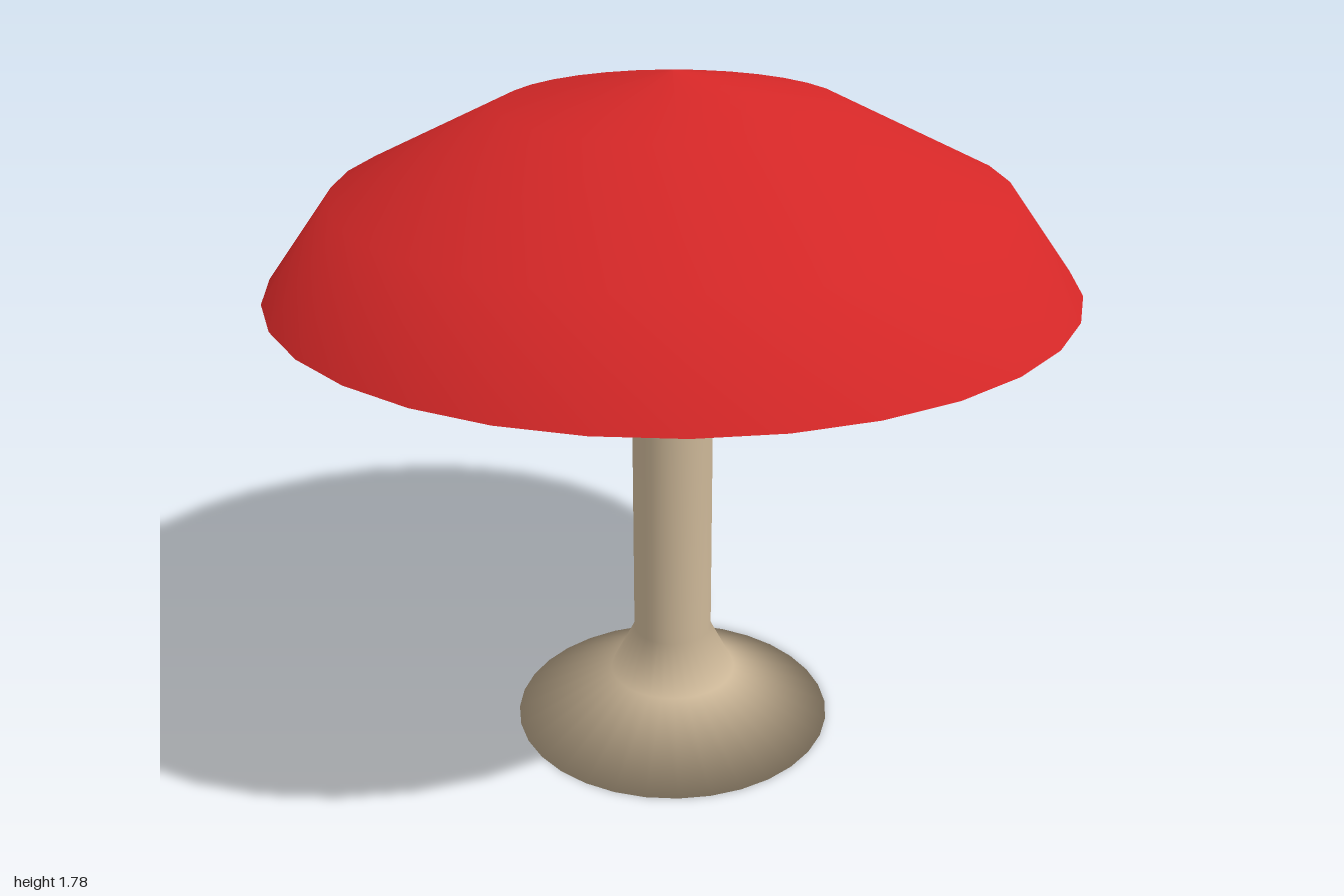
import * as THREE from 'three';

const SIDES = 32;

function material(name, color, side = THREE.FrontSide) {
  const m = new THREE.MeshStandardMaterial({ color, side });
  m.name = name;
  return m;
}

// Turned part from [radius, height] pairs, listed from bottom to top on the outside
function turned(name, profile, mat) {
  const points = profile.map(([r, y]) => new THREE.Vector2(r, y));
  const mesh = new THREE.Mesh(new THREE.LatheGeometry(points, SIDES), mat);
  mesh.name = name;
  return mesh;
}

export function createModel() {
  const red = material('cap red', 0xd42727);
  const beige = material('stem beige', 0xcab596);
  const dark = material('gill dark brown', 0x3c2c23);

  const group = new THREE.Group();
  group.name = 'mushroom';

  // Stem with a flared foot and a flat base
  group.add(turned('stem', [
    [0, 0], [0.43, 0], [0.17, 0.13], [0.105, 0.26], [0.105, 1.44],
  ], beige));

  // Domed cap
  group.add(turned('cap', [
    [1, 1.27], [0.83, 1.5], [0.42, 1.7], [0, 1.78],
  ], red));

  // Hollow underside: pale collar round the stem, dark gills, pale rim
  group.add(turned('collar', [[0, 1.43], [0.31, 1.425]], beige));
  group.add(turned('gills', [[0.31, 1.425], [0.84, 1.33]], dark));
  group.add(turned('underRim', [[0.84, 1.33], [1, 1.27]], beige));

  return group;
}
